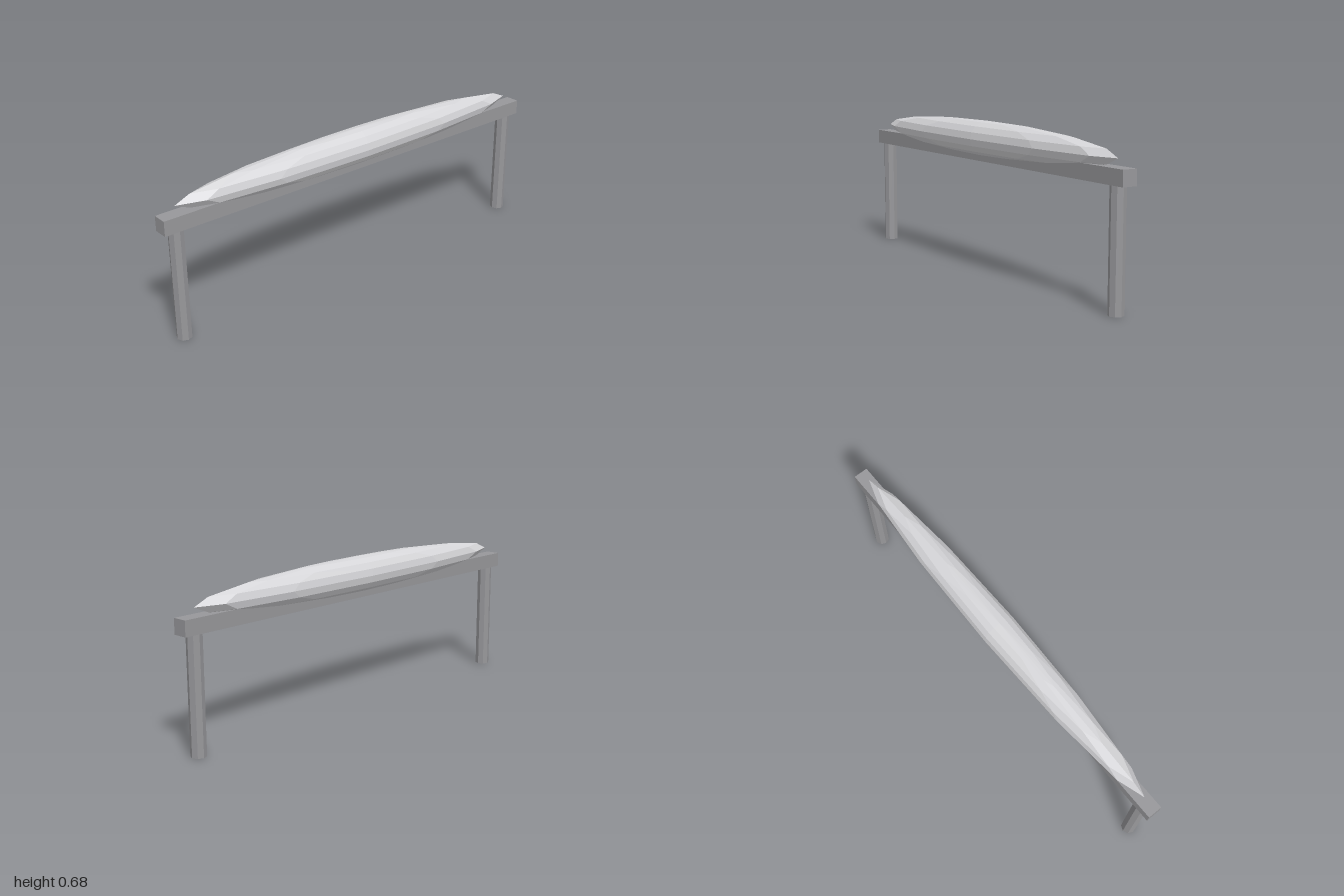
import * as THREE from 'three';

export function createModel() {
  const model = new THREE.Group();
  const frameGrey = new THREE.MeshStandardMaterial({ name: 'frame grey', color: 0x97979a, flatShading: true });
  const paleGrey = new THREE.MeshStandardMaterial({ name: 'pale grey', color: 0xd6d6d9, flatShading: true });

  const add = (name, geometry, material, x, y) => {
    const mesh = new THREE.Mesh(geometry, material);
    mesh.name = name;
    mesh.position.set(x, y, 0);
    model.add(mesh);
  };

  // Long rail resting on the legs
  add('rail', new THREE.BoxGeometry(2, 0.066, 0.066), frameGrey, 0, 0.534);

  // Eight-sided legs near both ends
  for (const [name, x] of [['leftLeg', 0.933], ['rightLeg', -0.933]]) {
    add(name, new THREE.CylinderGeometry(0.033, 0.033, 0.501, 8), frameGrey, x, 0.2505);
  }

  // Stretched faceted body sunk into the rail
  const body = new THREE.SphereGeometry(1, 12, 8);
  body.scale(0.93, 0.08, 0.08);
  add('body', body, paleGrey, 0, 0.6);

  return model;
}
